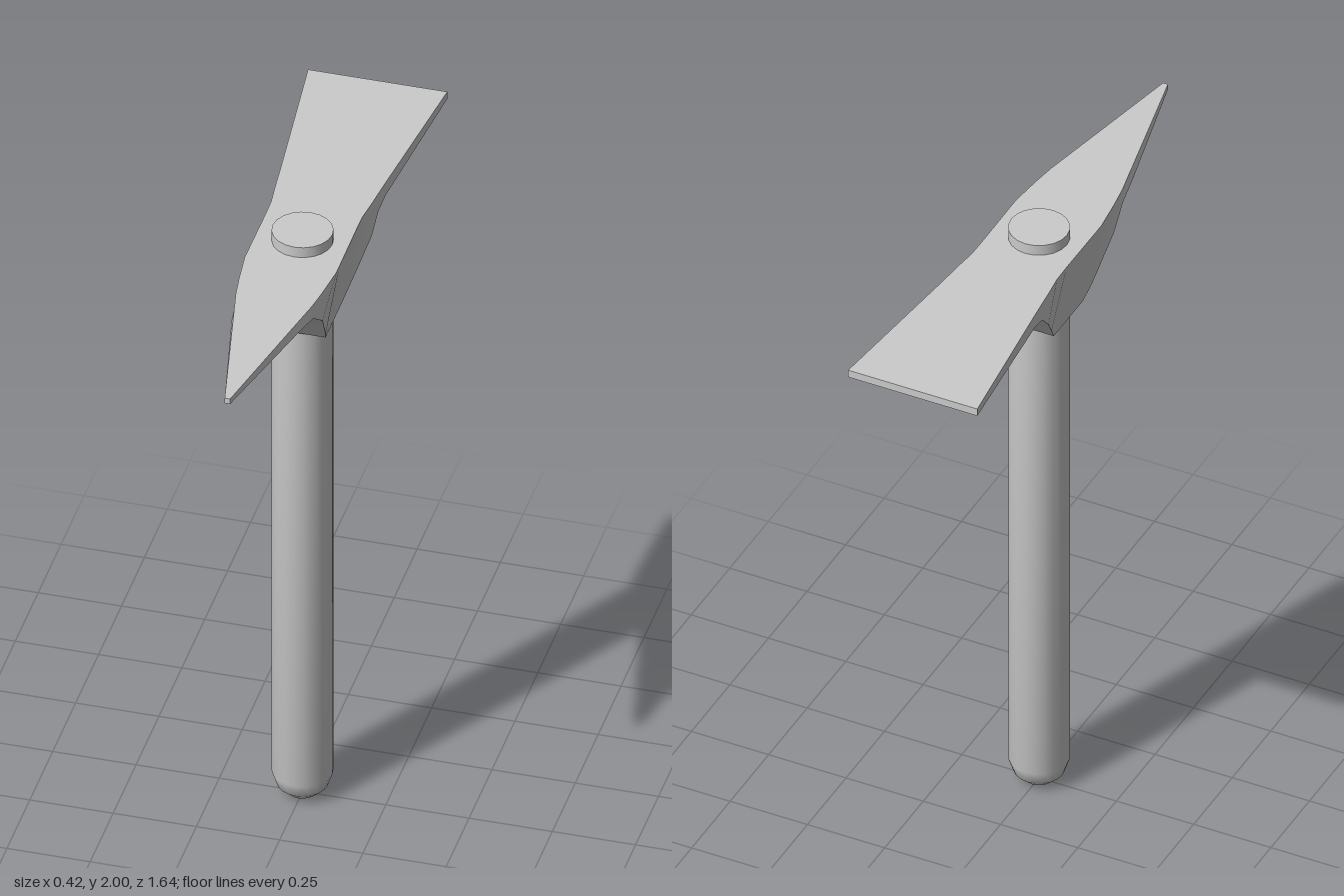
import * as THREE from 'three';
import { toCreasedNormals } from 'three/addons/utils/BufferGeometryUtils.js';

const TOP = 1.965;

// Skins four-cornered cross-sections [z, topHalfWidth, bottomY, bottomHalfWidth], listed front to back
function loftHead(sections) {
  const pos = [];
  const idx = [];
  for (const [z, w, y, b] of sections) {
    pos.push(-w, TOP, z, -b, y, z, b, y, z, w, TOP, z);
  }
  const quad = (a, b, c, d) => idx.push(a, b, c, a, c, d);
  const last = (sections.length - 1) * 4;
  for (let s = 0; s < last; s += 4) {
    for (let j = 0; j < 4; j++) {
      const k = (j + 1) % 4;
      quad(s + j, s + 4 + j, s + 4 + k, s + k);
    }
  }
  quad(0, 1, 2, 3);
  quad(last + 3, last + 2, last + 1, last);
  const geometry = new THREE.BufferGeometry();
  geometry.setAttribute('position', new THREE.Float32BufferAttribute(pos, 3));
  geometry.setIndex(idx);
  return toCreasedNormals(geometry, 0.5);
}

export function createModel() {
  const group = new THREE.Group();
  const material = new THREE.MeshStandardMaterial({ color: 0xcccccc });

  // Round shaft with a softened butt, poking slightly through the head
  const profile = [[0, 0], [0.045, 0.007], [0.075, 0.035], [0.09, 0.08], [0.09, 2], [0, 2]]
    .map(([r, y]) => new THREE.Vector2(r, y));
  const handle = new THREE.Mesh(toCreasedNormals(new THREE.LatheGeometry(profile, 20), 0.6), material);
  handle.name = 'handle';
  group.add(handle);

  // Head: pointed pick in front, deep socket block, flaring flat blade behind
  const head = new THREE.Mesh(loftHead([
    [0.82, 0.008, 1.947, 0.008],
    [0.40, 0.096, 1.935, 0.103],
    [0.31, 0.115, 1.92, 0.117],
    [0.235, 0.126, 1.862, 0.125],
    [0.13, 0.138, 1.738, 0.105],
    [0.095, 0.138, 1.7, 0.095],
    [-0.095, 0.137, 1.7, 0.095],
    [-0.16, 0.138, 1.772, 0.12],
    [-0.228, 0.146, 1.848, 0.145],
    [-0.28, 0.151, 1.903, 0.151],
    [-0.34, 0.157, 1.92, 0.157],
    [-0.82, 0.209, 1.94, 0.209],
  ]), material);
  head.name = 'pickHead';
  group.add(head);

  return group;
}
